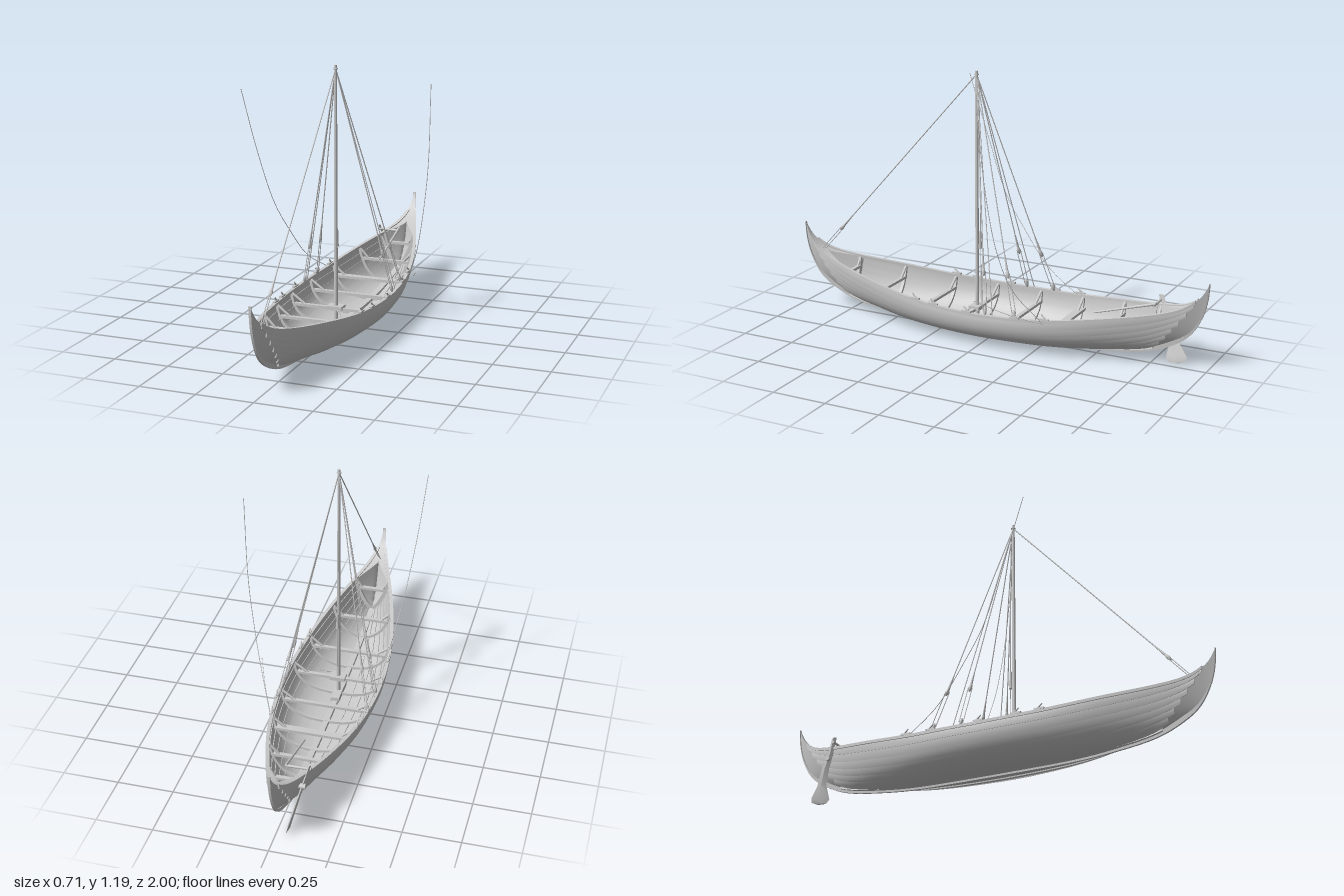
import * as THREE from 'three';
import { toCreasedNormals } from 'three/addons/utils/BufferGeometryUtils.js';

const mat = new THREE.MeshStandardMaterial({ color: 0xcccccc });
const V = (x, y, z) => new THREE.Vector3(x, y, z);
const { lerp } = THREE.MathUtils;
const CX = -0.01; // centreline of the boat

// Smooth y(z) lookup through a few points
function profile(pts) {
  const s = new THREE.SplineCurve(pts.map(p => new THREE.Vector2(...p))).getPoints(200);
  return z => {
    let i = 1;
    while (i < 200 && s[i].x < z) i++;
    const t = (z - s[i - 1].x) / (s[i].x - s[i - 1].x || 1);
    return lerp(s[i - 1].y, s[i].y, THREE.MathUtils.clamp(t, 0, 1));
  };
}
const keelY = profile([[0, .01], [.357, .013], [.57, .03], [.73, .056], [.84, .1], [.92, .157], [.97, .24], [.993, .32], [1, .4]]);
const sheerY = profile([[0, .172], [.3, .183], [.6, .22], [.786, .25], [.893, .282], [.963, .335], [1, .4]]);

// Hull form: v runs from keel (0) to sheer (1); off moves outwards
function section(a, v) {
  const hw = .003 + .216 * Math.pow(Math.max(0, 1 - a * a), 1.15), t = v * Math.PI / 2, k = a * a;
  const top = sheerY(a), low = Math.min(keelY(a) + .014, top - .002);
  const f = lerp(Math.pow(Math.sin(t), .85), v, k);
  const g = lerp(Math.pow(1 - Math.cos(t), 1.15), v, k);
  return [hw * f, low + (top - low) * g];
}
function hull(z, v, off = 0, side = 1) {
  const a = Math.abs(z), [x, y] = section(a, v);
  const p = section(a, Math.max(0, v - .02)), q = section(a, Math.min(1, v + .02));
  const dx = q[0] - p[0], dy = q[1] - p[1], l = Math.hypot(dx, dy) || 1;
  return V(side * Math.max(0, x + off * dy / l), y - off * dx / l, z);
}

// Closed, capped skin over rings of points; winding is fixed by signed volume
function loft(rings, crease = .5) {
  const n = rings[0].length, pts = rings.flat(), idx = [];
  for (let i = 0; i < rings.length - 1; i++)
    for (let j = 0; j < n; j++) {
      const a = i * n + j, b = i * n + (j + 1) % n;
      idx.push(a, b, b + n, a, b + n, a + n);
    }
  const e = (rings.length - 1) * n;
  for (let j = 1; j < n - 1; j++) idx.push(0, j + 1, j, e, e + j, e + j + 1);
  let vol = 0;
  for (let i = 0; i < idx.length; i += 3)
    vol += pts[idx[i]].dot(pts[idx[i + 1]].clone().cross(pts[idx[i + 2]]));
  if (vol < 0) idx.reverse();
  const g = new THREE.BufferGeometry().setFromPoints(pts);
  g.setIndex(idx);
  return toCreasedNormals(g, crease);
}
const range = (n, f) => Array.from({ length: n + 1 }, (_, i) => f(i / n));
const stations = (end, n = 48) => range(n, t => end * Math.sin((t - .5) * Math.PI));

function add(parent, name, geo) {
  const m = new THREE.Mesh(geo, mat);
  m.name = name;
  parent.add(m);
  return m;
}
function box(parent, name, w, h, d, x, y, z) {
  const m = add(parent, name, new THREE.BoxGeometry(w, h, d));
  m.position.set(x, y, z);
  return m;
}
// Round bar between two points
function rod(parent, name, a, b, r0, r1 = r0, sides = 8) {
  const d = b.clone().sub(a);
  const m = add(parent, name, new THREE.CylinderGeometry(r1, r0, d.length(), sides));
  m.position.copy(a).addScaledVector(d, .5);
  m.quaternion.setFromUnitVectors(V(0, 1, 0), d.normalize());
  return m;
}
function rope(parent, name, pts, r = .0016) {
  return add(parent, name, new THREE.TubeGeometry(new THREE.CatmullRomCurve3(pts), 32, r, 5));
}

function buildHull(g) {
  const STRAKES = 7;
  for (const side of [1, -1]) {
    const tag = side > 0 ? 'Left' : 'Right';
    // Overlapping planks with stepped ends
    for (let j = 0; j < STRAKES; j++) {
      const v0 = j / STRAKES, v1 = Math.min(1, (j + 1.12) / STRAKES), vm = (v0 + v1) / 2;
      add(g, 'strake' + tag + (j + 1), loft(stations(.76 + .03 * j).map(z => [
        hull(z, v0, .006, side), hull(z, vm, .005, side), hull(z, v1, 0, side),
        hull(z, v1, -.004, side), hull(z, vm, -.001, side), hull(z, v0, 0, side)])));
    }
    // Gunwale
    add(g, 'gunwale' + tag, loft(stations(.945).map(z => {
      const p = hull(z, 1, 0, side), w = Math.min(.01, Math.abs(p.x) * .7);
      return [[-w, -.008], [.006, -.008], [.006, .005], [-w, .005]].map(([x, y]) => V(p.x + side * x, p.y + y, z));
    })));
    // Solid stems, thickening towards the tips
    for (const end of [1, -1])
      add(g, (end > 0 ? 'bowStem' : 'sternStem') + tag, loft(range(24, t => {
        const z = end * lerp(.74, 1, t), th = lerp(.006, .06, Math.min(1, t * 1.3));
        const outer = range(8, v => hull(z, v, 0, side));
        const inner = outer.map(p => V(side * Math.max(0, Math.abs(p.x) - th), p.y, z)).reverse();
        return [...outer, ...inner];
      })));
  }
  // Keel sweeping up into both stem edges
  const line = range(100, t => Math.sin((t - .5) * Math.PI)).map(z => [z, keelY(Math.abs(z))]);
  add(g, 'keel', loft(line.map(([z, y], i) => {
    const p = line[Math.max(0, i - 1)], q = line[Math.min(100, i + 1)];
    const dz = q[0] - p[0], dy = q[1] - p[1], l = Math.hypot(dz, dy), d = .02 * Math.min(1, (1.02 - Math.abs(z)) * 6);
    const iy = y + d * dz / l, iz = z - d * dy / l;
    return [V(-.005, y, z), V(.005, y, z), V(.007, iy, iz), V(-.007, iy, iz)];
  })));
  // Keelson along the bottom
  add(g, 'keelson', loft(stations(.76).map(z => {
    const y = keelY(Math.abs(z)) + .012;
    return [V(-.016, y, z), V(.016, y, z), V(.013, y + .014, z), V(-.013, y + .014, z)];
  })));
  // Ribs with crossbeams
  for (const z of [-.76, -.57, -.35, -.13, .09, .3, .54, .75]) {
    const hd = .007;
    add(g, 'rib', loft(range(32, t => {
      const u = t * 2 - 1, s = u < 0 ? -1 : 1, v = Math.abs(u) * .97;
      return [[-.002, -hd], [-.002, hd], [-.014, hd], [-.014, -hd]].map(([o, d]) => {
        const p = hull(z, v, o, s);
        return V(p.x, p.y, z + d);
      });
    })));
    const p = hull(z, .78, -.004);
    box(g, 'crossbeam', p.x * 2, .012, z === -.35 ? .034 : .018, 0, p.y, z);
    for (const s of [1, -1]) rod(g, 'beamKnee', V(s * p.x * .7, p.y, z), hull(z, .97, -.008, s), .006);
  }
  // Small end decks
  for (const e of [1, -1]) box(g, 'breasthook', .045, .01, .04, 0, .268, e * .895);
  // Rowlocks on the rails
  for (const s of [1, -1]) for (const z of [-.33, -.2, .03, .2, .3]) {
    const p = hull(z, 1, 0, s), k = new THREE.Group();
    k.name = 'rowlock';
    k.position.copy(p);
    box(k, 'rowlockBase', .012, .008, .045, 0, .008, 0);
    rod(k, 'rowlockHorn', V(0, .008, -.012), V(0, .03, .012), .004, .003);
    g.add(k);
  }
}

function buildRudder(g) {
  // Steering oar hung on the right quarter: rows of y, rear z, front z
  add(g, 'rudderBlade', loft([[.012, -.865, -.82], [.025, -.895, -.803], [.045, -.895, -.805], [.09, -.86, -.812],
    [.16, -.83, -.79], [.22, -.79, -.762], [.285, -.762, -.738]].map(([y, a, b]) => {
    const x = -.043 - (y - .02) * .245, c = (a + b) / 2;
    return [V(x, y, a), V(x + .006, y, c), V(x, y, b), V(x - .006, y, c)];
  })));
  rod(g, 'rudderPivot', V(-.06, .2, -.79), V(-.1, .2, -.79), .012);
  rod(g, 'tillerArm', V(-.115, .265, -.752), V(-.01, .262, -.752), .006);
  rod(g, 'tiller', V(-.01, .275, -.765), V(-.01, .19, -.48), .006, .004);
}

function buildRig(g) {
  const top = V(CX, 1.185, .09);
  rod(g, 'mast', V(CX, .03, .09), V(CX, 1.2, .09), .009, .0065, 16);
  box(g, 'mastStep', .04, .025, .14, CX, .04, .09);
  box(g, 'mastPartner', .07, .018, .05, CX, .125, .09);
  const band = add(g, 'mastheadBand', new THREE.TorusGeometry(.008, .003, 6, 16));
  band.position.copy(top);
  band.rotation.x = Math.PI / 2;
  // Stay with an optional two-block tackle at its foot
  function stay(name, foot, t) {
    const s = new THREE.Group();
    s.name = name;
    g.add(s);
    if (!t) return rod(s, 'stayRope', top, foot, .0022, .0022, 6);
    const dir = foot.clone().sub(top).normalize(), upper = top.clone().lerp(foot, t);
    const low = foot.clone().addScaledVector(dir, -.03);
    rod(s, 'stayRope', top, upper, .0026, .0026, 6);
    for (const p of [upper, low]) {
      const b = add(s, 'block', new THREE.SphereGeometry(.01, 10, 8));
      b.scale.set(.8, 2, .8);
      b.position.copy(p);
      b.quaternion.setFromUnitVectors(V(0, 1, 0), dir);
    }
    rod(s, 'blockStrop', upper.clone().addScaledVector(dir, -.08), upper, .003, .006);
    for (const d of [-.006, .006]) {
      const o = V(d, 0, d);
      rod(s, 'tackleRope', upper.clone().add(o), low.clone().add(o), .002, .002, 5);
    }
    rod(s, 'lashing', low, foot, .003);
  }
  stay('forestay', V(CX, .25, .93), .84);
  for (const s of [1, -1]) {
    stay('foreShroud', V(CX + s * .213, .165, -.06), .81);
    stay('middleShroud', V(CX + s * .213, .168, -.095), 0);
    stay('aftShroud', V(CX + s * .205, .17, -.2), .81);
  }
  // Halyard running down the mast
  rod(g, 'halyard', V(CX, 1.16, .078), V(CX, .14, .07), .002, .002, 5);
  rod(g, 'halyardBlock', V(CX, .4, .074), V(CX, .48, .074), .008, .005);
  // Loose sheets blowing from the rails
  rope(g, 'sheetRight', [V(-.353, 1.11, .305), V(-.33, .82, .195), V(-.3, .575, .09), V(-.275, .425, -.02), V(-.245, .28, -.15), V(-.205, .175, -.325)]);
  rope(g, 'sheetLeft', [V(.355, 1.11, -.1), V(.335, .735, -.135), V(.3, .49, -.17), V(.26, .33, -.22), V(.19, .175, -.33)]);
  rope(g, 'sheetTail', [V(.19, .175, -.325), V(.25, .215, -.2), V(.308, .275, -.06)]);
  rope(g, 'looseLine', [V(CX, .13, .1), V(.03, .1, .14), V(.05, .075, .19), V(.1, .08, .175)], .003);
}

export function createModel() {
  const model = new THREE.Group();
  model.name = 'sailingBoat';
  const parts = { hull: buildHull, rudder: buildRudder, rigging: buildRig };
  for (const [name, build] of Object.entries(parts)) {
    const g = new THREE.Group();
    g.name = name;
    build(g);
    model.add(g);
    if (name === 'hull') g.position.x = CX;
  }
  return model;
}
